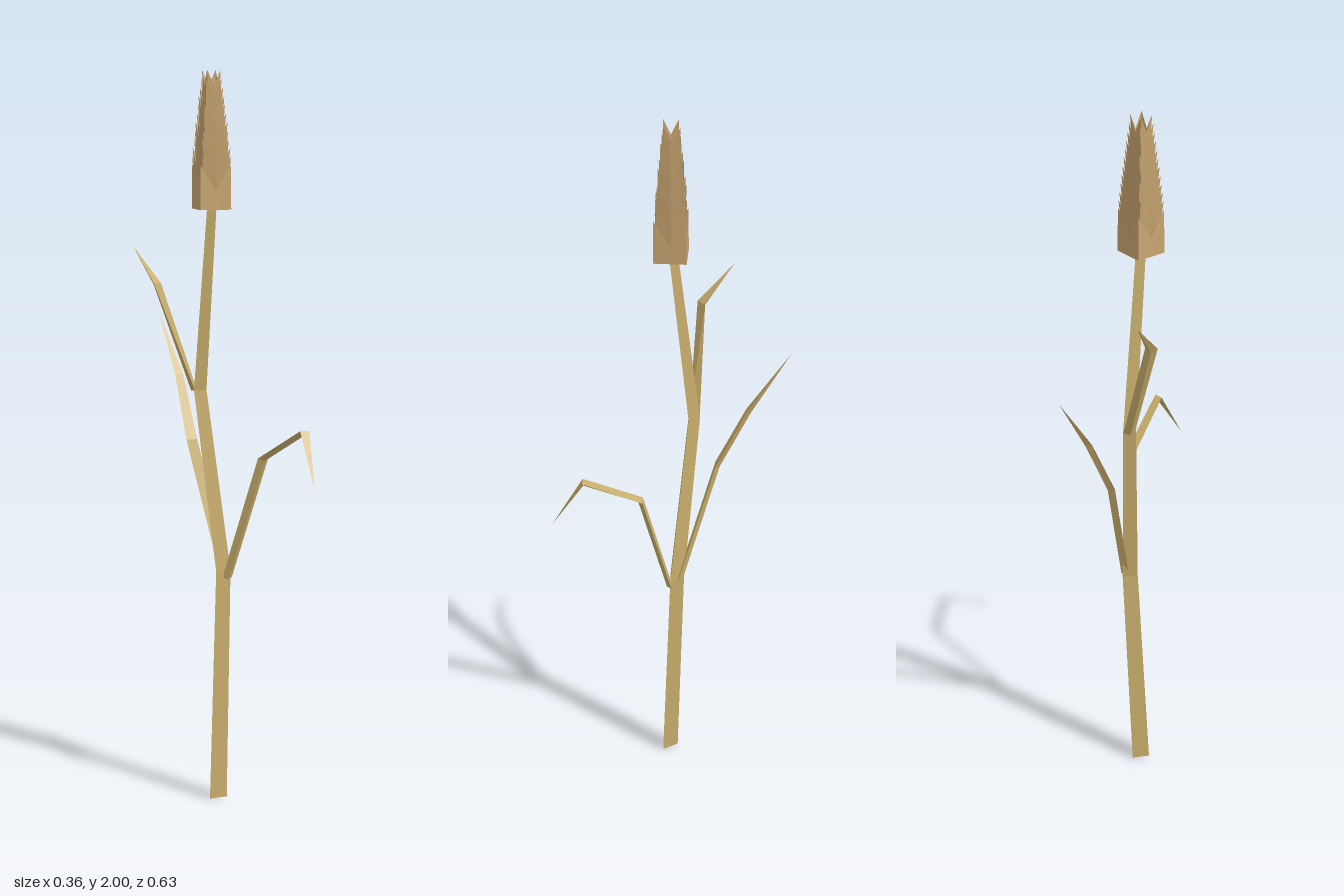
import * as THREE from 'three';

const V = (x, y, z) => new THREE.Vector3(x, y, z);
const straw = new THREE.MeshStandardMaterial({ color: 0xc9ae6c, flatShading: true });
const husk = new THREE.MeshStandardMaterial({ color: 0xc8a570, flatShading: true, side: THREE.DoubleSide });

// Skin a run of equal-sized rings; optionally close the first and last ring
function loft(rings, capStart, capEnd) {
  const n = rings[0].length, pos = [];
  const tri = (...pts) => pts.forEach(p => pos.push(p.x, p.y, p.z));
  for (let r = 0; r < rings.length - 1; r++) {
    const a = rings[r], b = rings[r + 1];
    for (let i = 0; i < n; i++) {
      const j = (i + 1) % n;
      tri(a[i], a[j], b[j]);
      if (b[i].distanceTo(b[j]) > 1e-6) tri(a[i], b[j], b[i]);
    }
  }
  const first = rings[0], last = rings[rings.length - 1];
  for (let i = 1; i < n - 1; i++) {
    if (capStart) tri(first[0], first[i + 1], first[i]);
    if (capEnd) tri(last[0], last[i], last[i + 1]);
  }
  const g = new THREE.BufferGeometry();
  g.setAttribute('position', new THREE.Float32BufferAttribute(pos, 3));
  g.computeVertexNormals();
  return g;
}

function part(name, geometry, material) {
  const mesh = new THREE.Mesh(geometry, material);
  mesh.name = name;
  return mesh;
}

// Leaf: rows of [centre, half-width vector], flat on top with a keel beneath
function leaf(name, rows) {
  const rings = rows.map(([p, w], i) => {
    const ahead = rows[Math.min(i + 1, rows.length - 1)][0];
    const behind = rows[Math.max(i - 1, 0)][0];
    const t = ahead.clone().sub(behind);
    const keel = w.clone().cross(t).normalize().multiplyScalar(-0.013);
    return [p.clone().sub(w), p.clone().add(w), p.clone().add(keel)];
  });
  return part(name, loft(rings, true, false), straw);
}

// Square ring of eight points whose corners may stand higher than the mid-sides
function squareRing(half, cornerY, midY, twist) {
  const pts = [];
  for (let i = 0; i < 8; i++) {
    const corner = i % 2 === 1;
    const a = i * Math.PI / 4 + twist, r = corner ? half * Math.SQRT2 : half;
    pts.push(V(r * Math.sin(a), corner ? cornerY : midY, r * Math.cos(a)));
  }
  return pts;
}

export function createModel() {
  const model = new THREE.Group();
  model.name = 'grainStalk';

  // Three-sided stem with two gentle bends: x, y, front z, back z, half width
  const stem = [
    [0, 0, 0.025, -0.018, 0.025],
    [0.022, 0.65, 0.003, -0.035, 0.021],
    [-0.028, 1.15, -0.045, -0.075, 0.018],
    [-0.012, 1.66, 0.008, -0.014, 0.013],
  ].map(([x, y, f, b, w]) => [V(x - w, y, f), V(x + w, y, f), V(x, y, b)]);
  model.add(part('stem', loft(stem, true, true), straw));

  // Three bent leaves
  model.add(leaf('frontLeaf', [
    [V(0.034, 0.63, 0), V(-0.014, 0, 0)],
    [V(0.11, 0.975, 0.075), V(-0.015, 0, 0)],
    [V(0.167, 1.073, 0.23), V(-0.013, 0, 0)],
    [V(0.162, 0.93, 0.315), V(0, 0, 0)],
  ]));
  model.add(leaf('backLeaf', [
    [V(0.03, 0.66, -0.02), V(0.016, 0, 0)],
    [V(-0.028, 1.0, -0.118), V(0.0155, 0, 0)],
    [V(-0.037, 1.17, -0.2), V(0.012, 0, 0)],
    [V(-0.06, 1.335, -0.315), V(0, 0, 0)],
  ]));
  model.add(leaf('sideLeaf', [
    [V(-0.036, 1.15, -0.06), V(0.007, 0, -0.014)],
    [V(-0.138, 1.44, -0.075), V(0.0125, 0, -0.01)],
    [V(-0.18, 1.535, -0.16), V(0, 0, 0)],
  ]));

  // Seed head: nested square cups with pointed corners, each slightly twisted
  const head = new THREE.Group();
  head.name = 'seedHead';
  head.position.set(-0.012, 0, 0.002);
  const count = 12;
  for (let i = 0; i < count; i++) {
    const t = i / (count - 1);
    const half = 0.041 - 0.022 * Math.pow(t, 1.2);
    const top = 1.755 + 0.245 * t;
    const height = 0.115 - 0.03 * t;
    const twist = -0.05 * Math.cos(i * 1.9);
    const low = squareRing(i ? half * 0.8 : 0.042, top - height, top - height, twist);
    const high = squareRing(half, top, top - 0.065 + 0.025 * t, twist);
    head.add(part('huskLayer', loft([low, high], true, false), husk));
  }
  model.add(head);
  return model;
}
